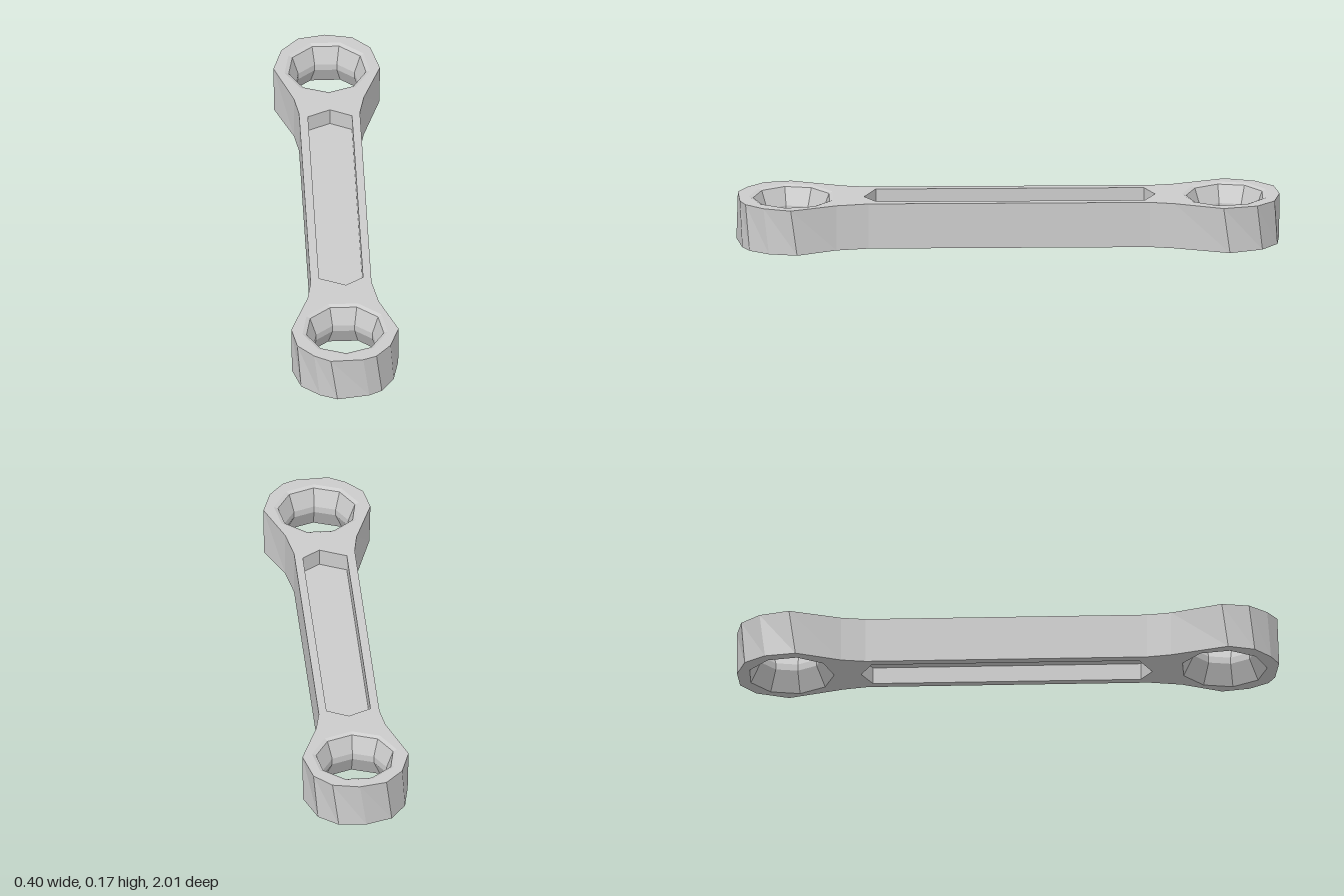
import * as THREE from 'three';

const HEIGHT = 0.172, WEB = 0.045, HEAD_Z = 0.8, SIDES = 9, BORE = 0.16;

const material = new THREE.MeshStandardMaterial({
  color: 0xcccccc, flatShading: true, side: THREE.DoubleSide,
});

// Plan points are [x, z]; shapes lie in the xy plane, so z becomes -y
const toPoints = (plan) => plan.map(([x, z]) => new THREE.Vector2(x, -z));

// Extrudes a plan shape upwards from the given height
function slab(shape, y, depth) {
  const geometry = new THREE.ExtrudeGeometry(shape, { depth, bevelEnabled: false });
  return geometry.rotateX(-Math.PI / 2).translate(0, y, 0);
}

function add(group, name, geometry) {
  const mesh = new THREE.Mesh(geometry, material);
  mesh.name = name;
  group.add(mesh);
  return mesh;
}

export function createModel() {
  const group = new THREE.Group();
  group.name = 'connectingLink';

  // Outline: narrow shank flaring into a faceted head at each end
  const outline = [
    [0.11, 0.52], [0.132, 0.64], [0.198, 0.81], [0.165, 0.91], [0.11, 0.975],
    [0.06, 0.995], [-0.06, 1], [-0.12, 0.965], [-0.18, 0.9], [-0.198, 0.8],
    [-0.13, 0.61], [-0.115, 0.52],
    [-0.115, -0.52], [-0.13, -0.61], [-0.198, -0.8], [-0.165, -0.91], [-0.1, -0.98],
    [0, -1], [0.1, -0.98], [0.165, -0.915], [0.195, -0.79], [0.128, -0.61], [0.11, -0.52],
  ];
  const pocket = [
    [0.08, 0.49], [0.015, 0.535], [-0.083, 0.49],
    [-0.083, -0.5], [0, -0.54], [0.08, -0.5],
  ];
  const body = new THREE.Shape(toPoints(outline));
  body.holes.push(new THREE.Path(toPoints(pocket)));
  for (const side of [-1, 1]) {
    const bore = [];
    for (let i = 0; i < SIDES; i++) {
      const a = (i / SIDES) * Math.PI * 2;
      bore.push([BORE * Math.sin(a), side * HEAD_Z + BORE * Math.cos(a)]);
    }
    body.holes.push(new THREE.Path(toPoints(bore)));
  }

  // Body, with the lower rim of each head turned slightly for slanted facets
  const bodyGeometry = slab(body, 0, HEIGHT);
  const position = bodyGeometry.attributes.position;
  const twist = 0.12;
  for (let i = 0; i < position.count; i++) {
    const x = position.getX(i), z = position.getZ(i);
    const centre = Math.sign(z) * HEAD_Z, dz = z - centre;
    if (position.getY(i) < 0.01 && Math.abs(z) > 0.78 && Math.hypot(x, dz) > 0.175) {
      position.setX(i, x * Math.cos(twist) + dz * Math.sin(twist));
      position.setZ(i, centre + dz * Math.cos(twist) - x * Math.sin(twist));
    }
  }
  bodyGeometry.computeVertexNormals();
  add(group, 'body', bodyGeometry);

  // Thin web between the upper and lower pockets of the shank
  add(group, 'shankWeb', slab(new THREE.Shape(toPoints(pocket)), (HEIGHT - WEB) / 2, WEB));

  // Bore linings: narrow at mid-height, flared towards both faces
  const profile = [
    [BORE, 0], [0.12, 0.075], [0.12, 0.1], [0.145, 0.166], [BORE, HEIGHT],
  ].map(([r, y]) => new THREE.Vector2(r, y));
  for (const side of [-1, 1]) {
    const lining = add(group, side > 0 ? 'frontBore' : 'backBore',
      new THREE.LatheGeometry(profile, SIDES));
    lining.position.z = side * HEAD_Z;
  }
  return group;
}
